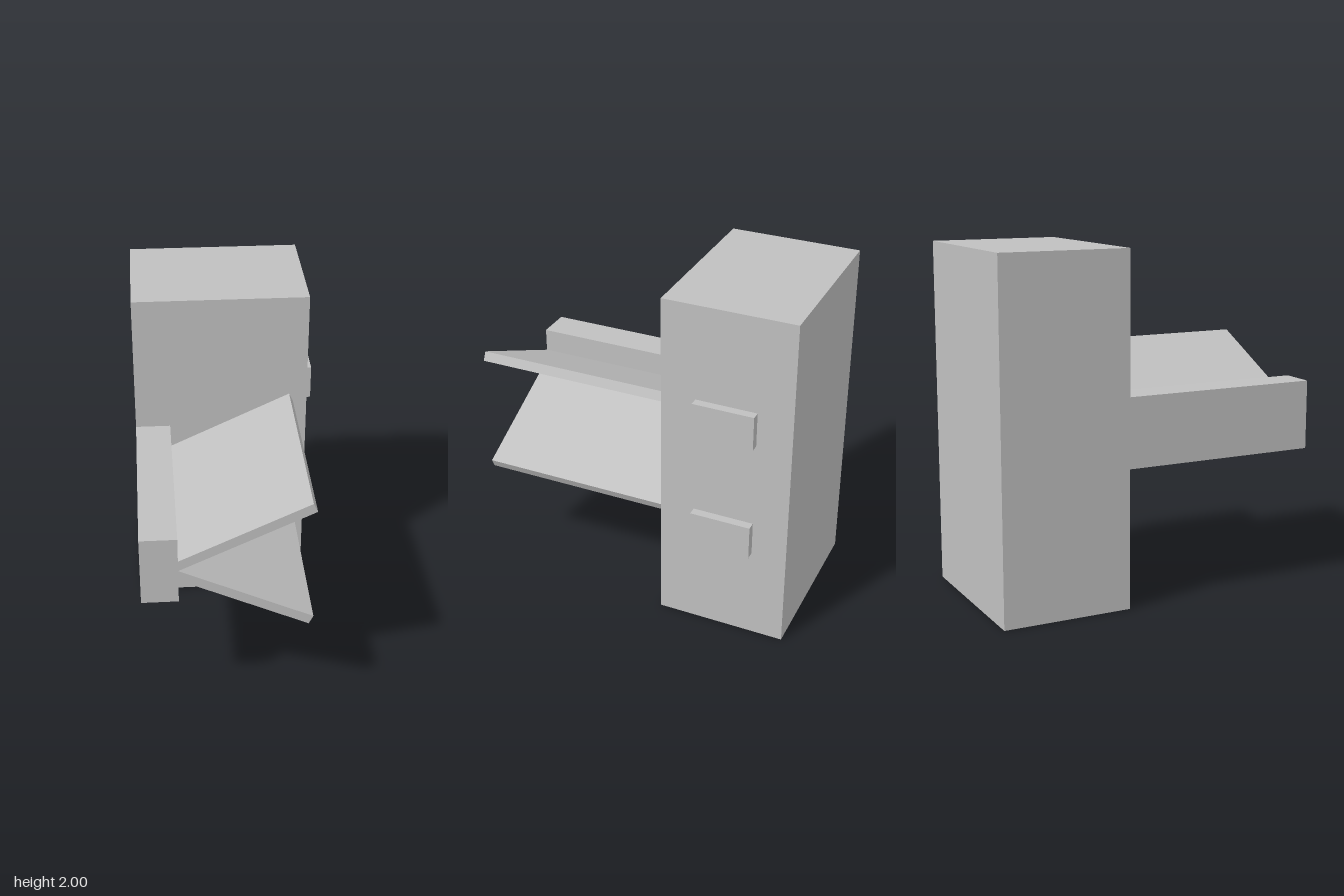
import * as THREE from 'three';

export function createModel() {
  const model = new THREE.Group();
  const grey = new THREE.MeshStandardMaterial({ color: 0xc0c0c0 });
  grey.name = 'plain grey';

  // Box given by its lower and upper limits on each axis
  function block(name, [x0, x1], [y0, y1], [z0, z1]) {
    const mesh = new THREE.Mesh(new THREE.BoxGeometry(x1 - x0, y1 - y0, z1 - z0), grey);
    mesh.position.set((x0 + x1) / 2, (y0 + y1) / 2, (z0 + z1) / 2);
    mesh.name = name;
    model.add(mesh);
  }

  // Upright body, with the arm that carries the plates
  block('body', [-0.525, 0.475], [0, 2], [-0.95, -0.2]);
  block('arm', [-0.525, -0.325], [0.8, 1.2], [-0.2, 0.95]);

  // Side tabs and the small front button
  block('lowerSideTab', [0.475, 0.525], [0.55, 0.75], [-0.75, -0.4]);
  block('upperSideTab', [0.475, 0.525], [1.25, 1.45], [-0.75, -0.4]);
  block('frontButton', [0.275, 0.375], [0.93, 1.075], [-0.2, -0.175]);

  // Two plates opening from the arm like a V, mirrored about y = 1
  const length = 0.797, thickness = 0.055, tilt = THREE.MathUtils.degToRad(25.2);
  for (const side of [1, -1]) {
    const geometry = new THREE.BoxGeometry(length, thickness, 1.15);
    geometry.translate(length / 2, side * thickness / 2, 0);
    const plate = new THREE.Mesh(geometry, grey);
    plate.rotation.z = side * tilt;
    plate.position.set(-0.325, 1, 0.375);
    plate.name = side > 0 ? 'upperPlate' : 'lowerPlate';
    model.add(plate);
  }

  return model;
}
